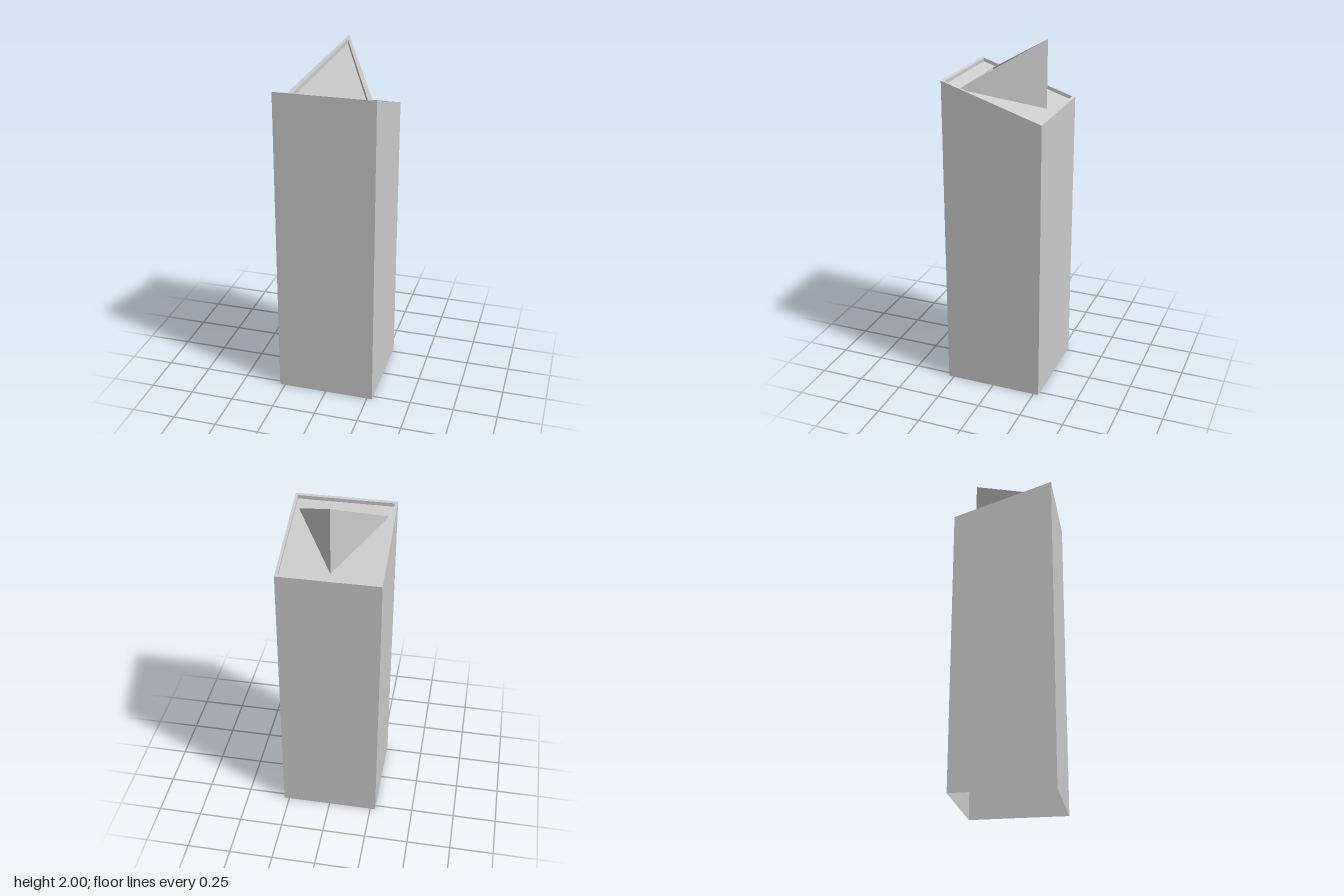
import * as THREE from 'three';

// Height planes as functions of z
const towerTop = (z) => 1.71 + 0.3214 * z;
const roof = (z) => towerTop(z) - 0.02;
const wedgeTop = (z) => 2 - 0.608 * (z + 0.21);
const wedgeFloor = (z) => wedgeTop(z) - 0.025;
const ground = () => 0;

// Corner outlines, counterclockwise seen from above
const square = (h) => [[-h, h], [h, h], [h, -h], [-h, -h]];
const triangle = (w, front, back) => [[-w, front], [w, front], [0, back]];

// Lift an outline onto a height plane
const ring = (outline, plane) => outline.map(([x, z]) => new THREE.Vector3(x, plane(z), z));

// Skin consecutive rings with flat faces and cap the last one
function loft(name, rings, side) {
  const points = [];
  for (let r = 0; r < rings.length - 1; r++) {
    const a = rings[r], b = rings[r + 1], n = a.length;
    for (let i = 0; i < n; i++) {
      const j = (i + 1) % n;
      points.push(a[i], a[j], b[j], a[i], b[j], b[i]);
    }
  }
  const cap = rings[rings.length - 1];
  for (let i = 1; i < cap.length - 1; i++) points.push(cap[0], cap[i], cap[i + 1]);

  const geometry = new THREE.BufferGeometry().setFromPoints(points);
  geometry.computeVertexNormals();
  const mesh = new THREE.Mesh(geometry, new THREE.MeshStandardMaterial({ color: 0xcccccc, flatShading: true, side }));
  mesh.name = name;
  return mesh;
}

export function createModel() {
  const group = new THREE.Group();
  group.name = 'slantedTower';

  // Tower shell, open below, with a thin parapet around a sunken sloping roof
  const outer = square(0.28), inner = square(0.265);
  group.add(loft('towerShell', [
    ring(outer, ground), ring(outer, towerTop), ring(inner, towerTop), ring(inner, roof),
  ], THREE.DoubleSide));

  // Triangular wedge on the roof, its sloping face recessed inside two rims
  const edge = triangle(0.24, 0.187, -0.21), recess = triangle(0.213, 0.187, -0.182);
  group.add(loft('roofWedge', [
    ring(edge, roof), ring(edge, wedgeTop), ring(recess, wedgeTop), ring(recess, wedgeFloor),
  ], THREE.FrontSide));

  return group;
}
